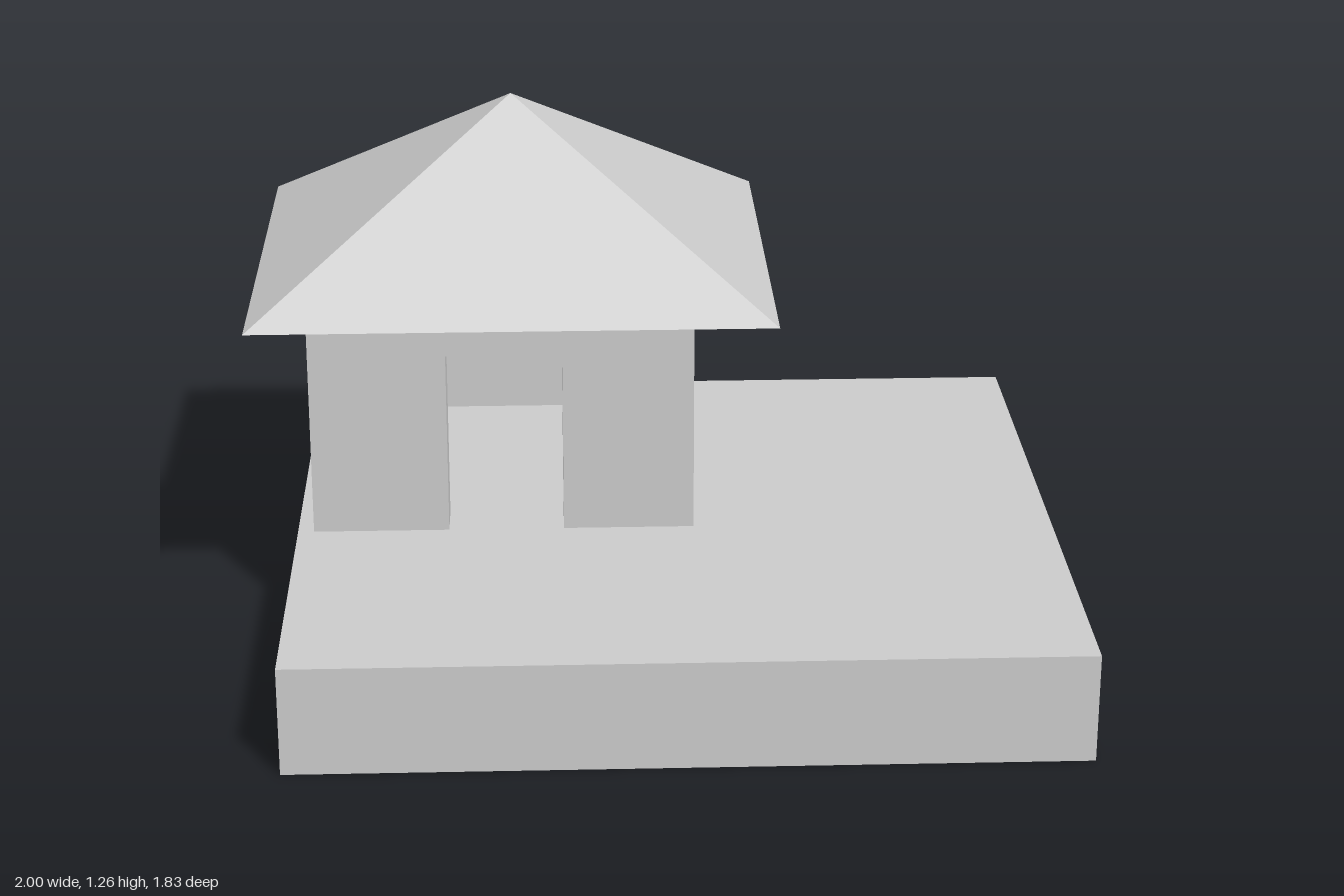
import * as THREE from 'three';

const material = new THREE.MeshStandardMaterial({ color: 0xcccccc, flatShading: true });

// Box given by its min and max corners
function box(name, [x0, y0, z0], [x1, y1, z1]) {
  const geometry = new THREE.BoxGeometry(x1 - x0, y1 - y0, z1 - z0);
  geometry.translate((x0 + x1) / 2, (y0 + y1) / 2, (z0 + z1) / 2);
  const mesh = new THREE.Mesh(geometry, material);
  mesh.name = name;
  return mesh;
}

export function createModel() {
  const model = new THREE.Group();
  model.name = 'hut';

  const floor = 0.27, eaves = 0.833;
  const left = 0.095, right = -0.855, front = 0.152, back = -0.79;
  const thick = 0.113;

  // Ground slab
  model.add(box('base', [-0.895, 0, -0.845], [0.996, floor, 0.917]));

  // Side walls and the back wall, which stands out a little behind them
  model.add(box('leftWall', [left - thick, floor, back + thick], [left, eaves, front]));
  model.add(box('rightWall', [right, floor, back + thick], [right + thick, eaves, front]));
  model.add(box('backWall', [right, floor, back], [left, eaves, back + thick]));

  // Front wall with a doorway reaching the floor
  const x0 = right + thick, x1 = left - thick;
  const outline = new THREE.Shape([
    [x0, floor], [-0.517, floor], [-0.517, 0.735], [-0.23, 0.735],
    [-0.23, floor], [x1, floor], [x1, eaves], [x0, eaves],
  ].map(([x, y]) => new THREE.Vector2(x, y)));
  const frontWall = new THREE.Mesh(
    new THREE.ExtrudeGeometry(outline, { depth: thick, bevelEnabled: false }), material);
  frontWall.name = 'frontWall';
  frontWall.position.z = front - thick;
  model.add(frontWall);

  // Four-sided roof, closed underneath
  const roofGeometry = new THREE.ConeGeometry(Math.SQRT1_2, 1, 4);
  roofGeometry.rotateY(Math.PI / 4);
  roofGeometry.scale(1.298, 1.262 - eaves, 1.166);
  const roof = new THREE.Mesh(roofGeometry, material);
  roof.name = 'roof';
  roof.position.set(-0.351, (1.262 + eaves) / 2, -0.334);
  model.add(roof);

  return model;
}
